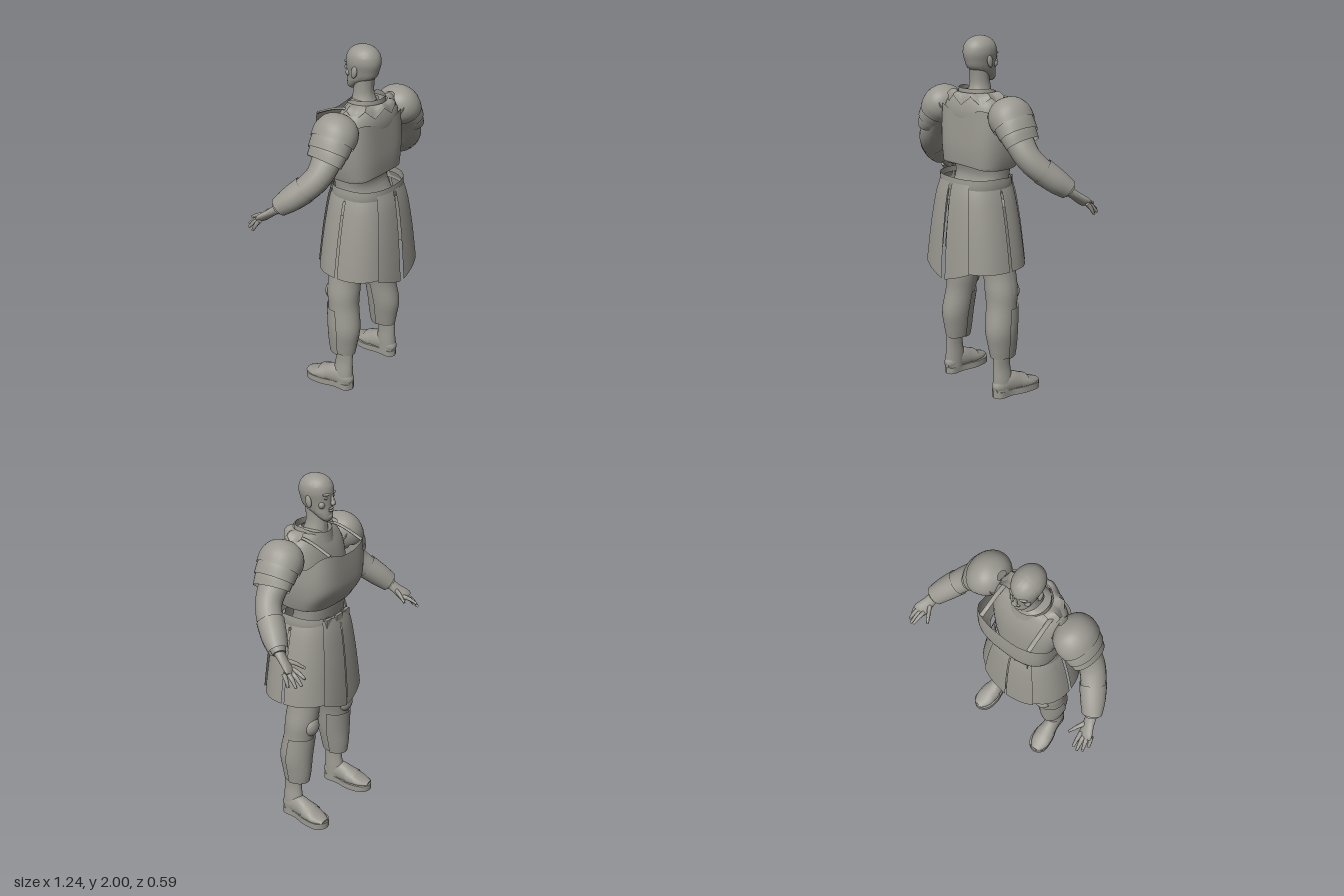
import * as THREE from 'three';
import { toCreasedNormals } from 'three/addons/utils/BufferGeometryUtils.js';

// One colour; double sided because the armour is made of open sheets.
const steel = new THREE.MeshStandardMaterial({ color: 0x9a9890, side: THREE.DoubleSide });
steel.name = 'warm grey';

function add(group, name, geometry) {
  const mesh = new THREE.Mesh(geometry, steel);
  mesh.name = name;
  group.add(mesh);
  return mesh;
}

// Smoothly resample a short list of cross-sections.
function resample(sections, steps) {
  const n = sections.length - 1, out = [];
  for (let i = 0; i < n; i++) {
    const [a, b, c, d] = [i - 1, i, i + 1, i + 2].map(k => sections[Math.min(n, Math.max(0, k))]);
    for (let s = 0; s < steps; s++) {
      const t = s / steps;
      out.push(b.map((v, k) => 0.5 * (2 * v + (c[k] - a[k]) * t + (2 * a[k] - 5 * v + 4 * c[k] - d[k]) * t * t
        + (3 * v - a[k] - 3 * c[k] + d[k]) * t * t * t)));
    }
  }
  out.push(sections[n].slice());
  return out;
}

// Skin a grid of points.
function skin(rows, crease = 0.8) {
  const w = rows[0].length, pos = rows.flat(2), index = [];
  for (let i = 0; i < rows.length - 1; i++) for (let j = 0; j < w - 1; j++) {
    const a = i * w + j, b = a + 1, c = a + w, d = c + 1;
    index.push(a, c, b, b, c, d);
  }
  const g = new THREE.BufferGeometry();
  g.setAttribute('position', new THREE.Float32BufferAttribute(pos, 3));
  g.setIndex(index);
  return toCreasedNormals(g, crease);
}

// Upright loft. Section: [y, cx, cz, rx, rz]. Angle 90 is the back (+z), 270 the front.
function shell(sections, { from = 0, to = 360, seg = 40, p = 2, grow = 0, cap = false, steps = 4, rule = (a, t, y) => y } = {}) {
  const list = resample(sections, steps);
  const rows = list.map(([y, cx, cz, rx, rz], i) => {
    const row = [];
    for (let j = 0; j <= seg; j++) {
      const deg = from + (to - from) * j / seg, a = deg * Math.PI / 180;
      const c = Math.cos(a), s = Math.sin(a);
      row.push([cx + Math.sign(c) * Math.abs(c) ** (2 / p) * (rx + grow),
        rule(deg, i / (list.length - 1), y),
        cz + Math.sign(s) * Math.abs(s) ** (2 / p) * (rz + grow)]);
    }
    return row;
  });
  if (cap) for (const k of [0, list.length - 1]) {
    const [y, cx, cz] = list[k], row = Array.from({ length: seg + 1 }, () => [cx, y, cz]);
    k ? rows.push(row) : rows.unshift(row);
  }
  return skin(rows);
}

// Loft along a path. Section: [x, y, z, radius towards ref, radius across].
function limb(sections, { ref = [0, 0, 1], seg = 20, cap = true, steps = 4 } = {}) {
  const list = resample(sections, steps), at = i => new THREE.Vector3(...list[i]);
  const rows = list.map((s, i) => {
    const t = at(Math.min(i + 1, list.length - 1)).sub(at(Math.max(i - 1, 0))).normalize();
    const u = new THREE.Vector3(...ref).addScaledVector(t, -t.dot(new THREE.Vector3(...ref))).normalize();
    const v = new THREE.Vector3().crossVectors(u, t);
    return Array.from({ length: seg + 1 }, (_, j) => {
      const a = j / seg * Math.PI * 2;
      return at(i).addScaledVector(u, Math.cos(a) * s[3]).addScaledVector(v, Math.sin(a) * s[4]).toArray();
    });
  });
  if (cap) {
    rows.unshift(rows[0].map(() => list[0].slice(0, 3)));
    rows.push(rows[0].map(() => list[list.length - 1].slice(0, 3)));
  }
  return skin(rows);
}

function ball(group, name, x, y, z, sx, sy, sz) {
  const m = add(group, name, new THREE.SphereGeometry(1, 20, 14));
  m.position.set(x, y, z);
  m.scale.set(sx, sy, sz);
  return m;
}

function buildHead(g) {
  add(g, 'skull', shell([[1.757, 0, -0.045, 0.018, 0.018], [1.77, 0, -0.042, 0.035, 0.031], [1.8, 0, -0.018, 0.052, 0.056],
    [1.83, 0, 0.01, 0.062, 0.083], [1.87, 0, 0.018, 0.071, 0.093], [1.91, 0, 0.022, 0.079, 0.098],
    [1.95, 0, 0.022, 0.074, 0.09], [1.98, 0, 0.022, 0.052, 0.065], [1.995, 0, 0.022, 0.025, 0.031],
    [2, 0, 0.022, 0.001, 0.001]], { cap: true }));
  add(g, 'neck', shell([[1.66, 0, 0.035, 0.08, 0.08], [1.73, 0, 0.022, 0.055, 0.06], [1.79, 0, 0.025, 0.05, 0.054],
    [1.86, 0, 0.03, 0.052, 0.06]]));
  add(g, 'nose', limb([[0, 1.9, -0.072, 0.008, 0.007], [0, 1.87, -0.082, 0.012, 0.01], [0, 1.857, -0.085, 0.014, 0.016],
    [0, 1.848, -0.08, 0.006, 0.01]], { seg: 12 }));
  ball(g, 'upperLip', 0, 1.828, -0.071, 0.022, 0.006, 0.011);
  ball(g, 'lowerLip', 0, 1.816, -0.07, 0.019, 0.007, 0.01);
  ball(g, 'chin', 0, 1.784, -0.063, 0.022, 0.018, 0.014);
  for (const s of [-1, 1]) {
    ball(g, 'brow', s * 0.031, 1.906, -0.062, 0.024, 0.008, 0.013).rotation.y = -s * 0.35;
    ball(g, 'eye', s * 0.03, 1.886, -0.06, 0.014, 0.007, 0.01);
    ball(g, 'cheek', s * 0.042, 1.85, -0.043, 0.02, 0.02, 0.016);
    ball(g, 'ear', s * 0.077, 1.867, 0.017, 0.01, 0.032, 0.018).rotation.x = 0.2;
  }
}

function buildTorso(g) {
  add(g, 'body', shell([[1.17, 0, 0.03, 0.17, 0.12], [1.25, 0, 0.005, 0.17, 0.105], [1.34, 0, 0.01, 0.18, 0.115],
    [1.5, 0, 0.03, 0.205, 0.125], [1.6, 0, 0.045, 0.205, 0.12], [1.665, 0, 0.05, 0.18, 0.1], [1.7, 0, 0.045, 0.115, 0.08],
    [1.715, 0, 0.04, 0.06, 0.06]], { p: 2.5 }));
  // Breastplate and backplate share one wrap; its top edge sinks under the arms and at the middle.
  add(g, 'cuirass', shell([[1.31, 0, 0.025, 0.198, 0.145], [1.33, 0, 0.02, 0.203, 0.152], [1.42, 0, -0.005, 0.22, 0.18],
    [1.52, 0, -0.01, 0.228, 0.18], [1.63, 0, -0.01, 0.225, 0.172]], {
    p: 3.4, seg: 72,
    rule: (d, t, y) => {
      const a = d * Math.PI / 180;
      return y - t * (0.08 * Math.cos(a) ** 8 + 0.025 * Math.abs(Math.sin(a)) ** 20)
        + (1 - t) ** 4 * 0.02 * Math.max(0, Math.sin(a)) ** 8;
    }
  }));
  add(g, 'collar', shell([[1.64, 0, 0.04, 0.125, 0.105], [1.69, 0, 0.04, 0.112, 0.098], [1.73, 0, 0.04, 0.104, 0.094]],
    { rule: (d, t, y) => y - t * 0.03 * Math.max(0, -Math.sin(d * Math.PI / 180)) }));
  // Pointed scallops hanging from the collar over the back.
  add(g, 'collarScallops', shell([[1.71, 0, 0.04, 0.112, 0.105], [1.69, 0, 0.045, 0.15, 0.122], [1.65, 0, 0.045, 0.178, 0.136]], {
    from: -20, to: 200, seg: 44, rule: (d, t, y) => y + t * 0.045 * Math.abs(((d + 20) / 20) % 2 - 1)
  }));
  add(g, 'belt', shell([[1.19, 0, 0.05, 0.2, 0.17], [1.225, 0, 0.052, 0.203, 0.172], [1.262, 0, 0.054, 0.2, 0.168]], {
    p: 2.4, rule: (d, t, y) => y - t * 0.02 * Math.max(0, -Math.sin(d * Math.PI / 180))
  }));
  add(g, 'buckle', new THREE.BoxGeometry(0.06, 0.055, 0.016)).position.set(0, 1.215, -0.124);
  for (const s of [-1, 1]) {
    add(g, 'shoulderStrap', limb([[s * 0.14, 1.66, 0.08, 0.006, 0.012], [s * 0.145, 1.69, 0.02, 0.006, 0.012],
      [s * 0.148, 1.675, -0.06, 0.006, 0.012], [s * 0.15, 1.63, -0.168, 0.006, 0.012]], { ref: [0, 1, 0], seg: 8 }));
    add(g, 'beltPouch', new THREE.BoxGeometry(0.045, 0.05, 0.025)).position.set(s * 0.085, 1.215, -0.11);
  }
}

function buildSkirt(g) {
  const form = [[1.235, 0, 0.05, 0.19, 0.165], [1.15, 0, 0.05, 0.218, 0.186], [1, 0, 0.05, 0.25, 0.206],
    [0.85, 0, 0.05, 0.275, 0.22], [0.76, 0, 0.05, 0.287, 0.228]];
  const panel = (name, from, to, grow, rule) => add(g, name, shell(form, { from, to, grow, rule, seg: 14, p: 2.4 }));
  const tip = centre => (d, t, y) => y - t ** 4 * 0.062 * Math.max(0, 1 - Math.abs(d - centre) / 32);
  panel('backPanelLeft', 57, 88.5, 0.012, tip(90));
  panel('backPanelRight', 91.5, 123, 0.012, tip(90));
  panel('frontPanelLeft', 270.3, 303, 0.01, tip(270));
  panel('frontPanelRight', 237, 269.7, 0.01, tip(270));
  panel('sidePanelBackLeft', 1, 62, 0);
  panel('sidePanelFrontLeft', -62, -1, 0);
  panel('sidePanelBackRight', 118, 179, 0);
  panel('sidePanelFrontRight', 181, 242, 0);
}

function buildArm(g) {
  add(g, 'arm', limb([[0.2, 1.62, 0.05, 0.09, 0.07], [0.25, 1.59, 0.05, 0.095, 0.08], [0.33, 1.5, 0.05, 0.085, 0.07],
    [0.395, 1.415, 0.042, 0.072, 0.067], [0.445, 1.35, 0, 0.068, 0.065], [0.5, 1.285, -0.07, 0.058, 0.058],
    [0.54, 1.23, -0.13, 0.033, 0.037]]));
  // Three overlapping shoulder plates.
  add(g, 'pauldronDome', limb([[0.195, 1.675, 0.05, 0.03, 0.02], [0.21, 1.662, 0.05, 0.075, 0.06], [0.235, 1.64, 0.05, 0.108, 0.093],
    [0.27, 1.605, 0.05, 0.125, 0.108], [0.305, 1.565, 0.05, 0.124, 0.1]], { cap: false, seg: 28 }));
  add(g, 'pauldronMiddle', limb([[0.285, 1.59, 0.05, 0.114, 0.095], [0.31, 1.56, 0.05, 0.117, 0.094],
    [0.34, 1.52, 0.05, 0.116, 0.084]], { cap: false, seg: 28 }));
  add(g, 'pauldronLower', limb([[0.32, 1.545, 0.05, 0.106, 0.08], [0.342, 1.513, 0.05, 0.109, 0.077],
    [0.367, 1.478, 0.047, 0.106, 0.066]], { cap: false, seg: 28 }));
  add(g, 'bracer', limb([[0.452, 1.342, -0.01, 0.073, 0.07], [0.5, 1.285, -0.07, 0.066, 0.065], [0.535, 1.24, -0.12, 0.05, 0.056]],
    { cap: false }));
  add(g, 'palm', limb([[0.535, 1.235, -0.12, 0.026, 0.03], [0.55, 1.2, -0.165, 0.02, 0.034], [0.565, 1.17, -0.205, 0.018, 0.042],
    [0.572, 1.155, -0.222, 0.012, 0.038]]));
  const fingers = [['thumb', [0.535, 1.2, -0.165], [0.487, 1.16, -0.25]], ['indexFinger', [0.542, 1.168, -0.212], [0.552, 1.14, -0.295]],
    ['middleFinger', [0.562, 1.162, -0.217], [0.576, 1.112, -0.293]], ['ringFinger', [0.582, 1.16, -0.215], [0.6, 1.105, -0.275]],
    ['littleFinger', [0.598, 1.162, -0.2], [0.614, 1.102, -0.237]]];
  for (const [name, a, b] of fingers) {
    const mid = a.map((v, k) => (v + b[k]) / 2 + (k === 1 ? 0.006 : 0));
    add(g, name, limb([[...a, 0.013, 0.013], [...mid, 0.011, 0.011], [...b, 0.007, 0.007]], { seg: 10 }));
  }
}

function buildLeg(g) {
  const calf = [[0.53, 0.177, 0.018, 0.084, 0.088], [0.4, 0.19, 0.034, 0.08, 0.094], [0.3, 0.194, 0.03, 0.066, 0.085],
    [0.235, 0.196, 0.028, 0.055, 0.075]];
  add(g, 'leg', shell([[1.1, 0.1, 0.03, 0.095, 0.12], [0.76, 0.14, 0.008, 0.091, 0.094], [0.62, 0.165, 0.01, 0.092, 0.093], ...calf], { cap: true }));
  add(g, 'greave', shell(calf, { from: 185, to: 365, grow: 0.009, seg: 24 }));
  add(g, 'ankle', shell([[0.26, 0.207, 0.042, 0.034, 0.058], [0.18, 0.208, 0.042, 0.033, 0.056], [0.1, 0.212, 0.038, 0.042, 0.062],
    [0.03, 0.213, 0.04, 0.044, 0.062]]));
  ball(g, 'kneecap', 0.17, 0.598, -0.064, 0.052, 0.056, 0.037);
  add(g, 'foot', limb([[0.213, 0.05, 0.1, 0.02, 0.02], [0.213, 0.06, 0.07, 0.05, 0.04], [0.217, 0.07, 0, 0.066, 0.046],
    [0.222, 0.06, -0.07, 0.05, 0.054], [0.23, 0.045, -0.14, 0.028, 0.058], [0.236, 0.038, -0.2, 0.012, 0.03]], { ref: [0, 1, 0] }));
  // Sandal with a flat sole and an instep band.
  const outline = [[0.21, 0.105], [0.174, 0.08], [0.172, 0], [0.157, -0.1], [0.178, -0.185], [0.235, -0.21], [0.284, -0.17],
    [0.282, -0.08], [0.258, 0], [0.252, 0.08]];
  const curve = new THREE.SplineCurve([...outline, outline[0]].map(([x, z]) => new THREE.Vector2(x, -z)));
  const sole = new THREE.ExtrudeGeometry(new THREE.Shape(curve.getPoints(50)), { depth: 0.038, bevelEnabled: false });
  add(g, 'sole', toCreasedNormals(sole.rotateX(-Math.PI / 2), 0.7));
  add(g, 'sandalBand', limb([[0.221, 0.058, -0.06, 0.057, 0.058], [0.226, 0.052, -0.11, 0.044, 0.062]], { ref: [0, 1, 0], cap: false }));
}

export function createModel() {
  const model = new THREE.Group();
  model.name = 'armouredFigure';
  const part = (name, build, mirrored = false) => {
    const g = new THREE.Group();
    g.name = name;
    build(g);
    if (mirrored) g.scale.x = -1;
    model.add(g);
  };
  part('head', buildHead);
  part('torso', buildTorso);
  part('skirt', buildSkirt);
  for (const m of [false, true]) {
    part(m ? 'armMirrored' : 'arm', buildArm, m);
    part(m ? 'legMirrored' : 'leg', buildLeg, m);
  }
  return model;
}
